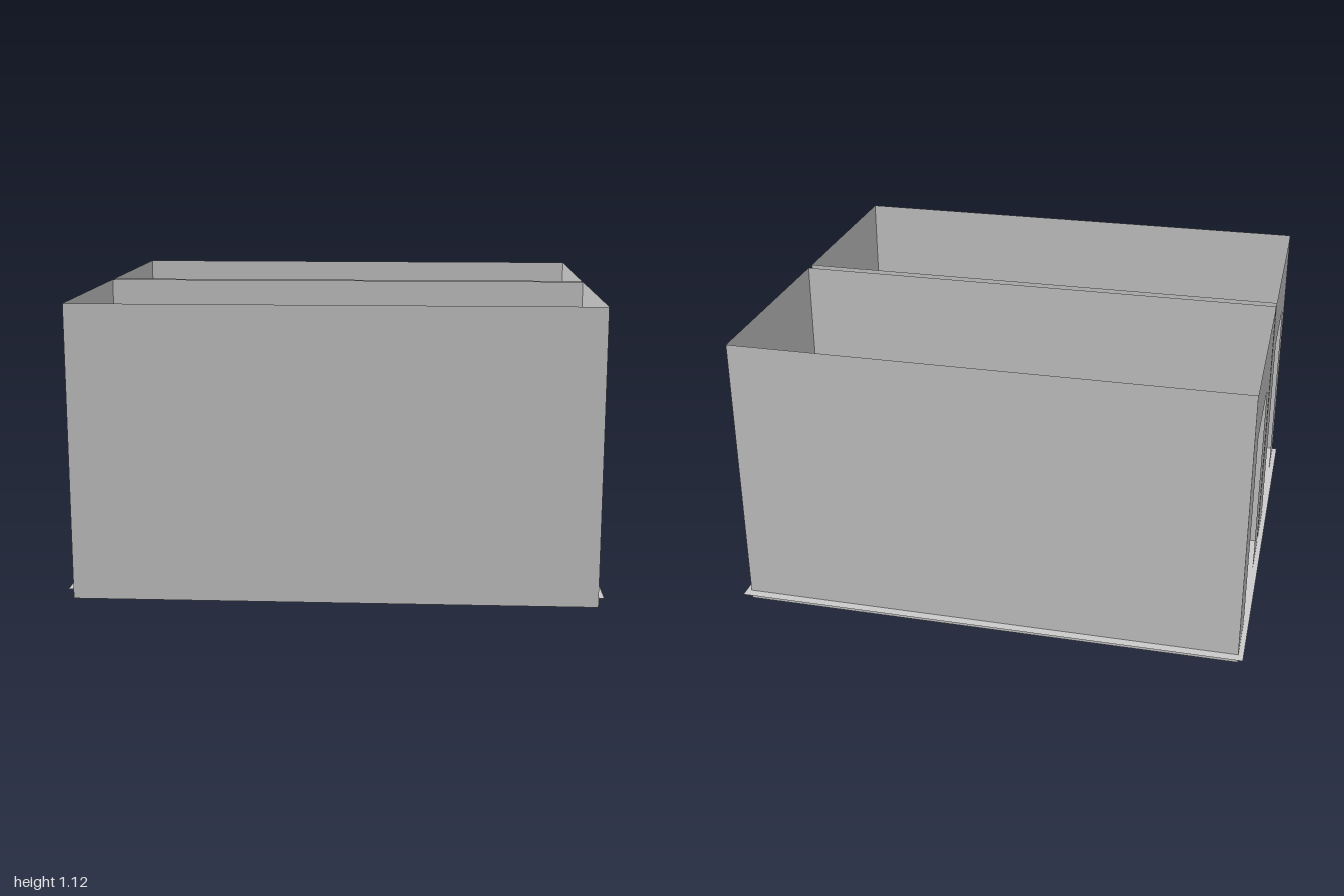
import * as THREE from 'three';

const material = new THREE.MeshStandardMaterial({ color: 0xcccccc, side: THREE.DoubleSide, flatShading: true });

const HALF_X = 0.98;    // half length of each room
const DEPTH = 0.838;    // room size along z
const HEIGHT = 1.115;
const DOOR_HALF = 0.2;
const DOOR_TOP = 0.845;
const FLOOR_Y = 0.035;

function addMesh(parent, name, geometry, x, y, z) {
  const mesh = new THREE.Mesh(geometry, material);
  mesh.name = name;
  mesh.position.set(x, y, z);
  parent.add(mesh);
  return mesh;
}

// End wall with a doorway cut right down to the ground
function doorWallGeometry() {
  const d = DEPTH / 2;
  const shape = new THREE.Shape([
    [-d, 0], [-DOOR_HALF, 0], [-DOOR_HALF, DOOR_TOP], [DOOR_HALF, DOOR_TOP],
    [DOOR_HALF, 0], [d, 0], [d, HEIGHT], [-d, HEIGHT],
  ].map(([x, y]) => new THREE.Vector2(x, y)));
  return new THREE.ShapeGeometry(shape);
}

// Open-topped room made of four thin walls
function createRoom(name, z) {
  const room = new THREE.Group();
  room.name = name;
  room.position.z = z;
  for (const [wall, side] of [['frontWall', 1], ['backWall', -1]]) {
    const mesh = addMesh(room, wall, new THREE.PlaneGeometry(2 * HALF_X, HEIGHT), 0, HEIGHT / 2, side * DEPTH / 2);
    if (side < 0) mesh.rotation.y = Math.PI;
  }
  addMesh(room, 'solidEndWall', new THREE.PlaneGeometry(DEPTH, HEIGHT), HALF_X, HEIGHT / 2, 0).rotation.y = Math.PI / 2;
  addMesh(room, 'doorwayWall', doorWallGeometry(), -HALF_X, 0, 0).rotation.y = -Math.PI / 2;
  return room;
}

export function createModel() {
  const model = new THREE.Group();
  model.name = 'twoRooms';
  model.add(createRoom('frontRoom', 0.456), createRoom('backRoom', -0.42));

  // Shared floor sheet, slightly above the wall bottoms
  addMesh(model, 'floor', new THREE.PlaneGeometry(2, 1.75), 0, FLOOR_Y, 0).rotation.x = -Math.PI / 2;
  return model;
}
